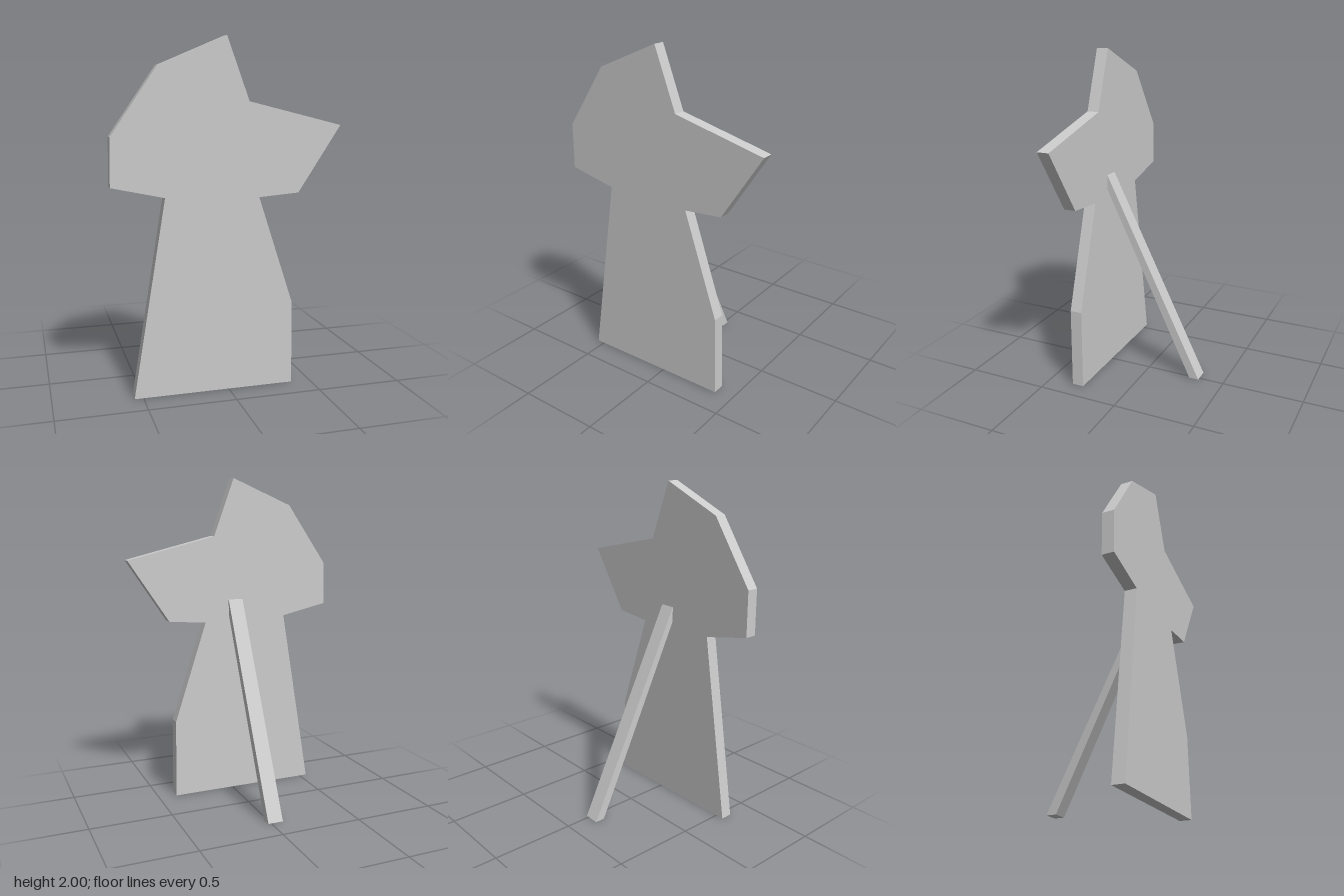
import * as THREE from 'three';

// Flat slab with a polygon outline
function slab(name, outline, depth, material) {
  const shape = new THREE.Shape(outline.map(([x, y]) => new THREE.Vector2(x, y)));
  const geometry = new THREE.ExtrudeGeometry(shape, { depth, bevelEnabled: false });
  const mesh = new THREE.Mesh(geometry, material);
  mesh.name = name;
  return mesh;
}

export function createModel() {
  const group = new THREE.Group();
  group.name = 'standingCutout';
  const material = new THREE.MeshStandardMaterial({ color: 0xcccccc, flatShading: true });

  // Upright panel: tapering body below, angular head above
  const panel = slab('panel', [
    [-0.55, 0], [0.387, 0], [0.381, 0.49], [0.175, 1.115], [0.41, 1.133],
    [0.66, 1.513], [0.113, 1.648], [-0.017, 2], [-0.4, 1.837],
    [-0.658, 1.463], [-0.662, 1.195], [-0.365, 1.13],
  ], 0.072, material);
  panel.position.z = 0.272;
  group.add(panel);

  // Rear strut: side profile (z, y) swept across its width
  const strut = slab('rearStrut', [
    [-0.344, 0], [-0.284, 0], [0.272, 1.16], [0.272, 1.252],
  ].map(([z, y]) => [z, y]), 0.094, material);
  strut.geometry.rotateY(-Math.PI / 2);
  strut.position.x = 0.019;
  group.add(strut);

  return group;
}
